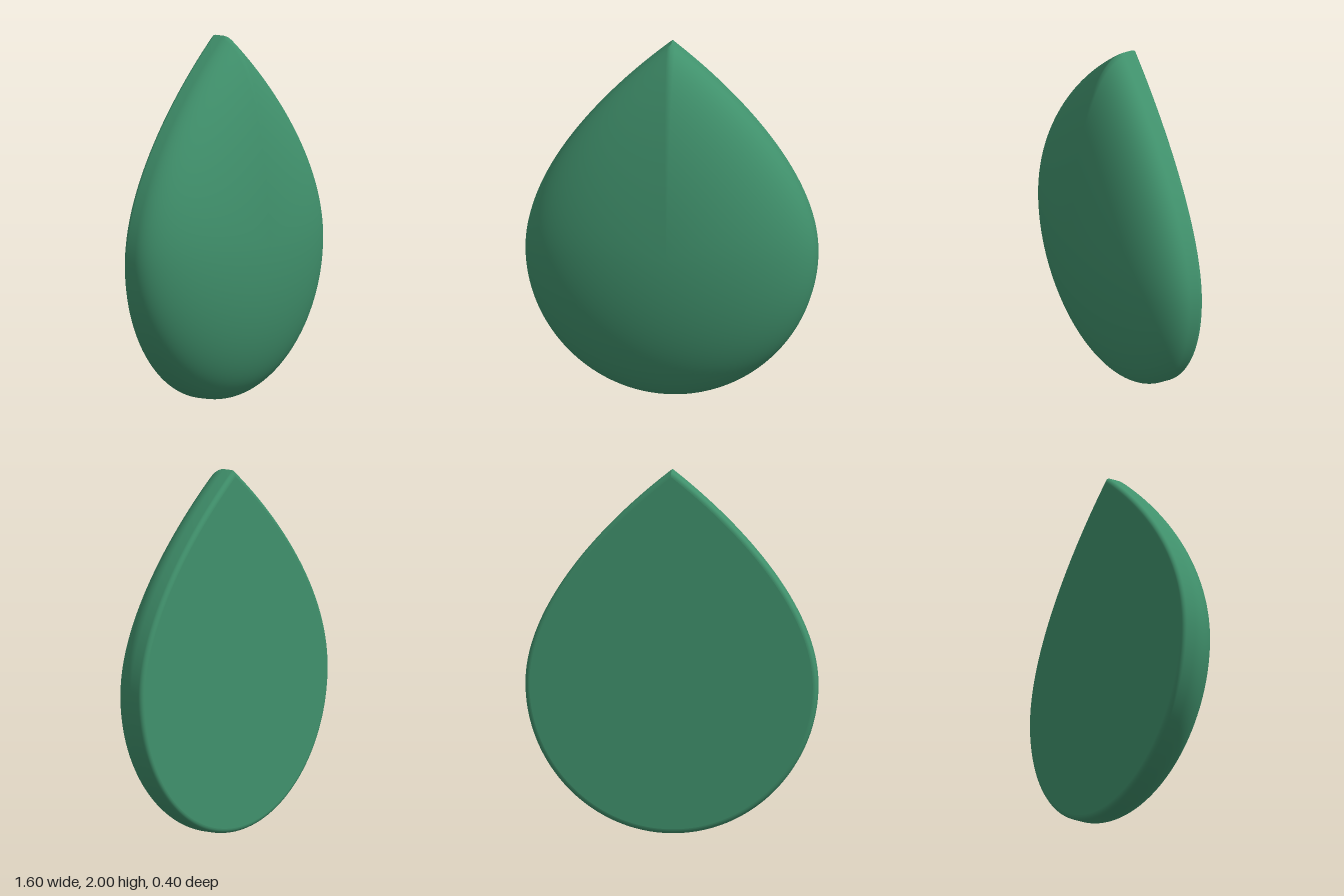
import * as THREE from 'three';

const CENTER = new THREE.Vector2(0, 0.85);
const HALF = 96;

// Teardrop outline, clockwise from the tip round to the tip again, relative to CENTER
function teardrop() {
  const half = new THREE.CurvePath();
  const v = (x, y) => new THREE.Vector2(x, y);
  half.add(new THREE.CubicBezierCurve(v(0, 2), v(0.36, 1.72), v(0.8, 1.26), v(0.8, 0.82)));
  half.add(new THREE.CubicBezierCurve(v(0.8, 0.82), v(0.8, 0.37), v(0.44, 0), v(0, 0)));
  const right = half.getSpacedPoints(HALF).map((p) => p.sub(CENTER));
  const left = right.slice(0, -1).reverse().map((p) => v(-p.x, p.y));
  return [...right, ...left];
}

// Moving average that rounds off the tip for the inner rings
function soften(points, reach) {
  const n = points.length - 1;
  return points.map((_, j) => {
    const sum = new THREE.Vector2();
    for (let k = -reach; k <= reach; k++) sum.add(points[(j + k + n) % n]);
    return sum.divideScalar(2 * reach + 1);
  });
}

// Skin over rings [scale, z]; the outline sharpens towards the rim
function ringSurface(rings, sharp, soft) {
  const pos = [], index = [], row = sharp.length;
  rings.forEach(([s, z], i) => {
    const w = rings.flat ? 1 : s ** 8;
    sharp.forEach((p, j) => {
      const q = soft[j].clone().lerp(p, w).multiplyScalar(s).add(CENTER);
      pos.push(q.x, q.y, z);
      if (i < rings.length - 1 && j < row - 1) {
        const a = i * row + j, b = a + row;
        index.push(a, b + 1, b, a, a + 1, b + 1);
      }
    });
  });
  const geo = new THREE.BufferGeometry();
  geo.setAttribute('position', new THREE.Float32BufferAttribute(pos, 3));
  geo.setIndex(index);
  geo.computeVertexNormals();
  return geo;
}

export function createModel() {
  const group = new THREE.Group();
  group.name = 'teardropCabochon';
  const material = new THREE.MeshStandardMaterial({ color: 0x40916c });
  const sharp = teardrop();
  const soft = soften(sharp, 17);

  // Dome, short upright wall and rounded back edge
  const rings = [];
  for (let i = 0; i <= 40; i++) {
    const a = (i / 40) * Math.PI / 2;
    rings.push([Math.sin(a), -0.12 + 0.318 * Math.cos(a)]);
  }
  const domeRings = rings.length - 2;
  for (let i = 0; i <= 6; i++) {
    const a = (i / 6) * Math.PI / 2;
    rings.push([0.97 + 0.03 * Math.cos(a), -0.175 - 0.025 * Math.sin(a)]);
  }
  // keep the bevel rings at the sharp outline by weighting them fully
  const bodyGeo = ringSurface(rings, sharp, soft);
  const row = sharp.length, pos = bodyGeo.attributes.position, nor = bodyGeo.attributes.normal;
  for (let i = domeRings + 2; i < rings.length; i++) {
    sharp.forEach((p, j) => pos.setXY(i * row + j, p.x * rings[i][0], p.y * rings[i][0] + CENTER.y));
  }
  bodyGeo.computeVertexNormals();

  // Smooth the seam on the dome; the tip of the wall stays a crisp edge
  for (let j = 0; j < row; j++) nor.setXYZ(j, 0, 0, 1);
  for (let i = 1; i < domeRings; i++) {
    for (const k of [i * row, i * row + row - 1]) {
      const l = Math.hypot(nor.getY(k), nor.getZ(k));
      nor.setXYZ(k, 0, nor.getY(k) / l, nor.getZ(k) / l);
    }
  }
  const body = new THREE.Mesh(bodyGeo, material);
  body.name = 'domedBody';

  // Flat back
  const backRings = [[0.97, -0.2], [0, -0.2]];
  backRings.flat = true;
  const back = new THREE.Mesh(ringSurface(backRings, sharp, soft), material);
  back.name = 'flatBack';

  group.add(body, back);
  return group;
}
